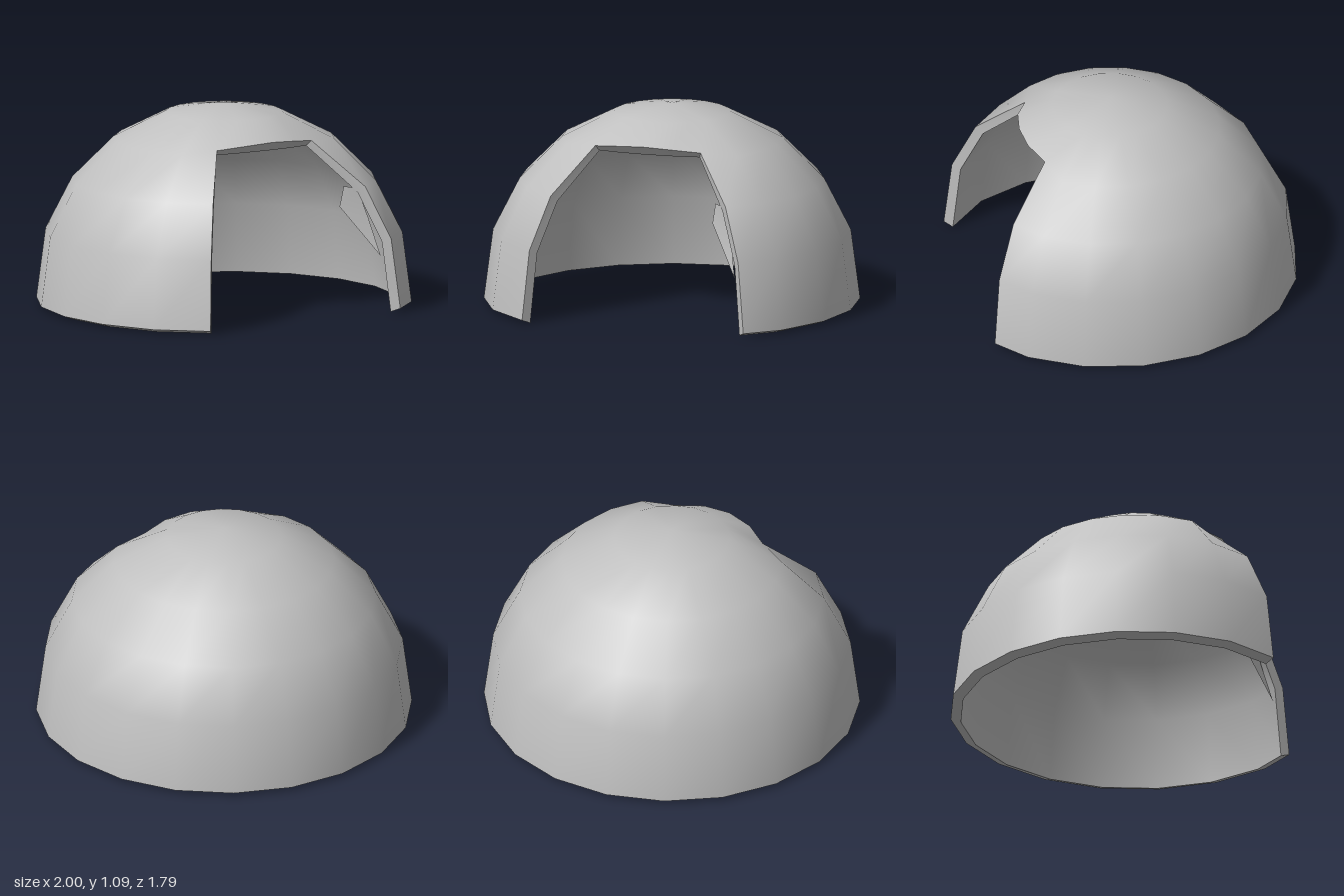
import * as THREE from 'three';
import { toCreasedNormals } from 'three/addons/utils/BufferGeometryUtils.js';

const SEGMENTS = 20, RINGS = 5, STEP = Math.PI / 10;
const APEX = SEGMENTS * RINGS;
const CENTER_Y = 0.085, CENTER_Z = 0.1;

// Point on the outer or inner shell: k counts round from the front, j counts up.
function shellPoint(k, j, inner) {
  const scale = inner ? 0.945 : 1;
  const side = k > 10 ? k - SEGMENTS : k;
  // Doorway lintel, pulled inwards as a lip
  if (j === 3 && Math.abs(side) <= 2) {
    const n = Math.abs(side), s = Math.sign(side);
    const x = [0, 0.155, 0.295][n] * s;
    return inner
      ? [x * 0.95, [0.89, 0.888, 0.88][n], [0.545, 0.53, 0.475][n]]
      : [x, [0.94, 0.93, 0.91][n], [0.59, 0.57, 0.505][n]];
  }
  let angle = k * STEP, r = Math.cos(j * STEP) * scale;
  // Door jambs, with the left one opened slightly wider
  if (j < 3 && Math.abs(side) === 2) {
    r *= 0.98;
    if (side === 2) angle += [0.09, 0.08, 0.06][j];
  }
  const y = j === 0 ? (inner ? 0 : 0.02) : CENTER_Y + Math.sin(j * STEP) * scale;
  return [Math.sin(angle) * r, y, CENTER_Z + Math.cos(angle) * r];
}

function makeGeometry(points, index) {
  const geometry = new THREE.BufferGeometry();
  geometry.setAttribute('position', new THREE.Float32BufferAttribute(points.flat(), 3));
  geometry.setIndex(index);
  geometry.computeVertexNormals();
  return geometry;
}

// Dome skin with the doorway left out
function shellGeometry(inner) {
  const points = [], index = [];
  for (let j = 0; j < RINGS; j++)
    for (let k = 0; k < SEGMENTS; k++) points.push(shellPoint(k, j, inner));
  points.push([0, CENTER_Y + (inner ? 0.945 : 1), CENTER_Z]);
  const tri = (a, b, c) => (inner ? index.push(a, c, b) : index.push(a, b, c));
  for (let j = 0; j < RINGS; j++) {
    for (let k = 0; k < SEGMENTS; k++) {
      if (j < 3 && (k < 2 || k >= 18)) continue;
      const next = (k + 1) % SEGMENTS;
      const a = j * SEGMENTS + k, b = j * SEGMENTS + next;
      if (j === RINGS - 1) tri(a, b, APEX);
      else {
        tri(a, b, b + SEGMENTS);
        tri(a, b + SEGMENTS, a + SEGMENTS);
      }
    }
  }
  return makeGeometry(points, index);
}

// Strip joining the two skins along a path of [k, j] steps
function rimGeometry(path) {
  const points = [], index = [];
  path.forEach(([k, j], i) => {
    points.push(shellPoint(k, j, false), shellPoint(k, j, true));
    if (i > 0) {
      const o = 2 * i - 2;
      index.push(o, o + 1, o + 3, o, o + 3, o + 2);
    }
  });
  return toCreasedNormals(makeGeometry(points, index), 0.5);
}

export function createModel() {
  const group = new THREE.Group();
  group.name = 'dome';
  const grey = new THREE.MeshStandardMaterial({ color: 0xc0c0c0, side: THREE.DoubleSide });
  grey.name = 'light grey';
  const add = (name, geometry) => {
    const mesh = new THREE.Mesh(geometry, grey);
    mesh.name = name;
    group.add(mesh);
  };

  add('outerShell', shellGeometry(false));
  add('innerShell', shellGeometry(true));

  // Base ring and doorway frame close the wall thickness
  const base = [];
  for (let k = 2; k <= 18; k++) base.push([k, 0]);
  add('baseRim', rimGeometry(base));
  add('doorwayRim', rimGeometry([
    [18, 0], [18, 1], [18, 2], [18, 3], [19, 3], [0, 3], [1, 3], [2, 3], [2, 2], [2, 1], [2, 0],
  ]));

  // Small folded flap inside the left jamb
  add('jambFlap', makeGeometry(
    [[0.48, 0.66, 0.67], [0.42, 0.67, 0.63], [0.4, 0.56, 0.62], [0.57, 0.3, 0.76], [0.53, 0.5, 0.7]],
    [0, 1, 2, 0, 2, 4, 4, 2, 3],
  ));
  return group;
}
